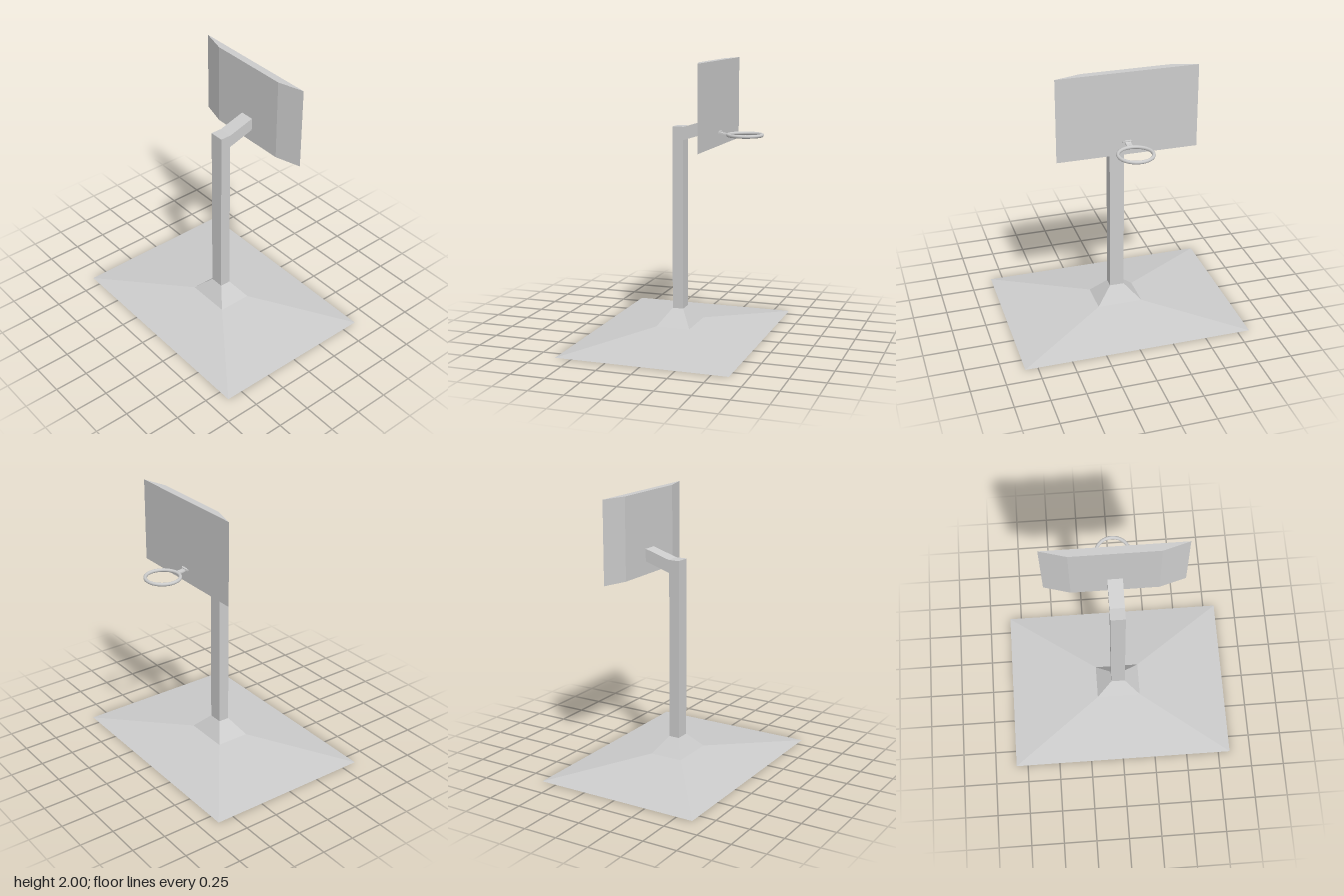
import * as THREE from 'three';

const grey = new THREE.MeshStandardMaterial({ color: 0xcccccc, flatShading: true });
const smoothGrey = new THREE.MeshStandardMaterial({ color: 0xcccccc });

// Four-sided block tapering from a bottom to a top rectangle (half sizes)
function frustum(y0, [bx, bz], y1, [tx, tz]) {
  const geo = new THREE.BoxGeometry(2, 1, 2);
  const p = geo.attributes.position;
  for (let i = 0; i < p.count; i++) {
    const top = p.getY(i) > 0;
    p.setXYZ(i, p.getX(i) * (top ? tx : bx), top ? y1 : y0, p.getZ(i) * (top ? tz : bz));
  }
  geo.computeVertexNormals();
  return geo;
}

const shapeOf = (points) => new THREE.Shape(points.map(([a, b]) => new THREE.Vector2(a, b)));

// Side outline given as [-z, y], extruded across x
function sideProfile(points, width) {
  const geo = new THREE.ExtrudeGeometry(shapeOf(points), { depth: width, bevelEnabled: false });
  return geo.translate(0, 0, -width / 2).rotateY(Math.PI / 2);
}

// Plan outline given as [x, -z], extruded upwards from y0
function planProfile(points, y0, height) {
  const geo = new THREE.ExtrudeGeometry(shapeOf(points), { depth: height, bevelEnabled: false });
  return geo.rotateX(-Math.PI / 2).translate(0, y0, 0);
}

export function createModel() {
  const model = new THREE.Group();
  model.name = 'basketballHoop';
  const add = (name, geo, material = grey) => {
    const mesh = new THREE.Mesh(geo, material);
    mesh.name = name;
    model.add(mesh);
  };

  // Low pyramid base and steeper collar around the post
  add('base', frustum(0, [0.84, 0.62], 0.083, [0.167, 0.125]));
  add('collar', frustum(0.083, [0.167, 0.125], 0.2, [0.053, 0.04]));

  // Square post with the arm rising to the board
  add('postAndArm', sideProfile([
    [-0.04, 0.2], [0.04, 0.2], [0.04, 1.435], [0.24, 1.497],
    [0.24, 1.59], [0.045, 1.53], [-0.04, 1.53],
  ], 0.106));

  // Board with slanted front corners
  add('backboard', planProfile([[-0.31, 0.237], [0.31, 0.237], [0.5, 0.291], [-0.5, 0.291]], 1.4, 0.6));

  // Rim, its neck and the small mounting plate
  const rim = new THREE.TorusGeometry(0.12, 0.0125, 10, 40).rotateX(Math.PI / 2);
  add('rim', rim.translate(0, 1.482, -0.479), smoothGrey);
  add('rimNeck', sideProfile([
    [0.29, 1.495], [0.31, 1.484], [0.355, 1.477], [0.355, 1.488], [0.315, 1.492], [0.29, 1.506],
  ], 0.04));
  add('rimPlate', planProfile([[-0.036, 0.29], [0.036, 0.29], [0.036, 0.297], [0.02, 0.305], [-0.02, 0.305], [-0.036, 0.297]], 1.491, 0.012));

  return model;
}
